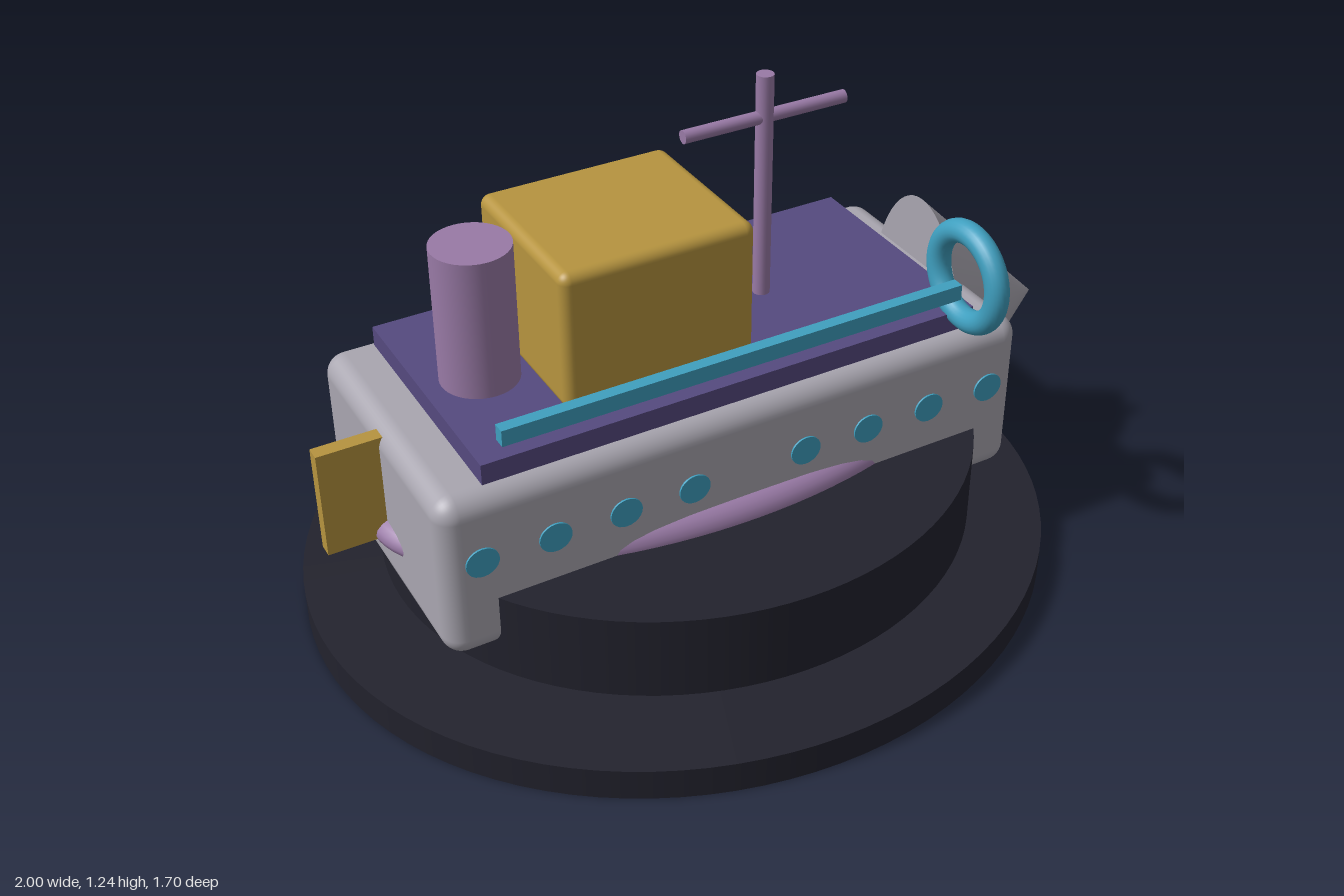
import * as THREE from 'three';
import { RoundedBoxGeometry } from 'three/addons/geometries/RoundedBoxGeometry.js';

const paint = (name, color) => {
  const m = new THREE.MeshStandardMaterial({ color });
  m.name = name;
  return m;
};

export function createModel() {
  const grey = paint('hullGrey', 0xa9a6b0);
  const gold = paint('gold', 0xb6943f);
  const teal = paint('teal', 0x3f9fbf);
  const mauve = paint('mauve', 0x997aa6);
  const violet = paint('deckViolet', 0x554a7f);
  const dark = paint('dark', 0x22222d);

  const model = new THREE.Group();
  model.name = 'boat';

  const add = (name, geometry, material, x, y, z = 0, parent = model) => {
    const mesh = new THREE.Mesh(geometry, material);
    mesh.name = name;
    mesh.position.set(x, y, z);
    parent.add(mesh);
    return mesh;
  };
  // Elliptical disc standing on a given height
  const disc = (name, rx, rz, y0, y1) =>
    add(name, new THREE.CylinderGeometry(1, 1, y1 - y0, 96).scale(rx, 1, rz), dark, -0.067, (y0 + y1) / 2);

  // Stand
  disc('baseDisc', 0.933, 0.85, 0, 0.08);
  disc('upperDisc', 0.738, 0.68, 0.13, 0.342);

  // Hull, stretched fender ring around it, deck
  add('hull', new RoundedBoxGeometry(1.505, 0.42, 0.7, 5, 0.05), grey, -0.068, 0.41);
  add('fenderRing', new THREE.TorusGeometry(0.345, 0.045, 20, 96).rotateX(Math.PI / 2).scale(2.26, 1, 1), mauve, -0.067, 0.34)
    .scale.x = 0.89;
  add('deck', new THREE.BoxGeometry(1.265, 0.06, 0.615), violet, -0.068, 0.64);

  // Bow cone, narrow across and tall
  add('bow', new THREE.ConeGeometry(1, 0.375, 64).rotateZ(-Math.PI / 2).scale(1, 0.375, 0.19), grey, 0.8125, 0.42);

  // Rudder at the stern
  add('rudder', new THREE.BoxGeometry(0.165, 0.27, 0.036), gold, -0.882, 0.465);

  // Cabin and funnel
  add('cabin', new RoundedBoxGeometry(0.475, 0.345, 0.43, 5, 0.025), gold, -0.217, 0.829);
  add('funnel', new THREE.CylinderGeometry(0.092, 0.092, 0.35, 40), mauve, -0.565, 0.835);

  // Mast with its yard
  const rig = new THREE.Group();
  rig.name = 'rigging';
  model.add(rig);
  add('mast', new THREE.CylinderGeometry(0.021, 0.021, 0.575, 24), mauve, 0.166, 0.95, 0, rig);
  add('yard', new THREE.CylinderGeometry(0.016, 0.016, 0.425, 20).rotateZ(Math.PI / 2), mauve, 0.167, 1.132, 0, rig);

  // Side rail and life ring
  add('rail', new THREE.BoxGeometry(1.17, 0.04, 0.03), teal, -0.07, 0.731, 0.307);
  add('lifeRing', new THREE.TorusGeometry(0.111, 0.029, 20, 56).rotateY(Math.PI / 2), teal, 0.517, 0.78, 0.335);

  // Portholes along the front side, in two groups of four
  const portholes = new THREE.Group();
  portholes.name = 'portholes';
  model.add(portholes);
  const glass = new THREE.CylinderGeometry(0.039, 0.039, 0.009, 24).rotateX(Math.PI / 2).scale(1, 0.94, 1);
  for (const start of [-0.73, 0.078]) {
    for (let i = 0; i < 4; i++) add('porthole', glass, teal, start + i * 0.172, 0.455, 0.35, portholes);
  }

  return model;
}
